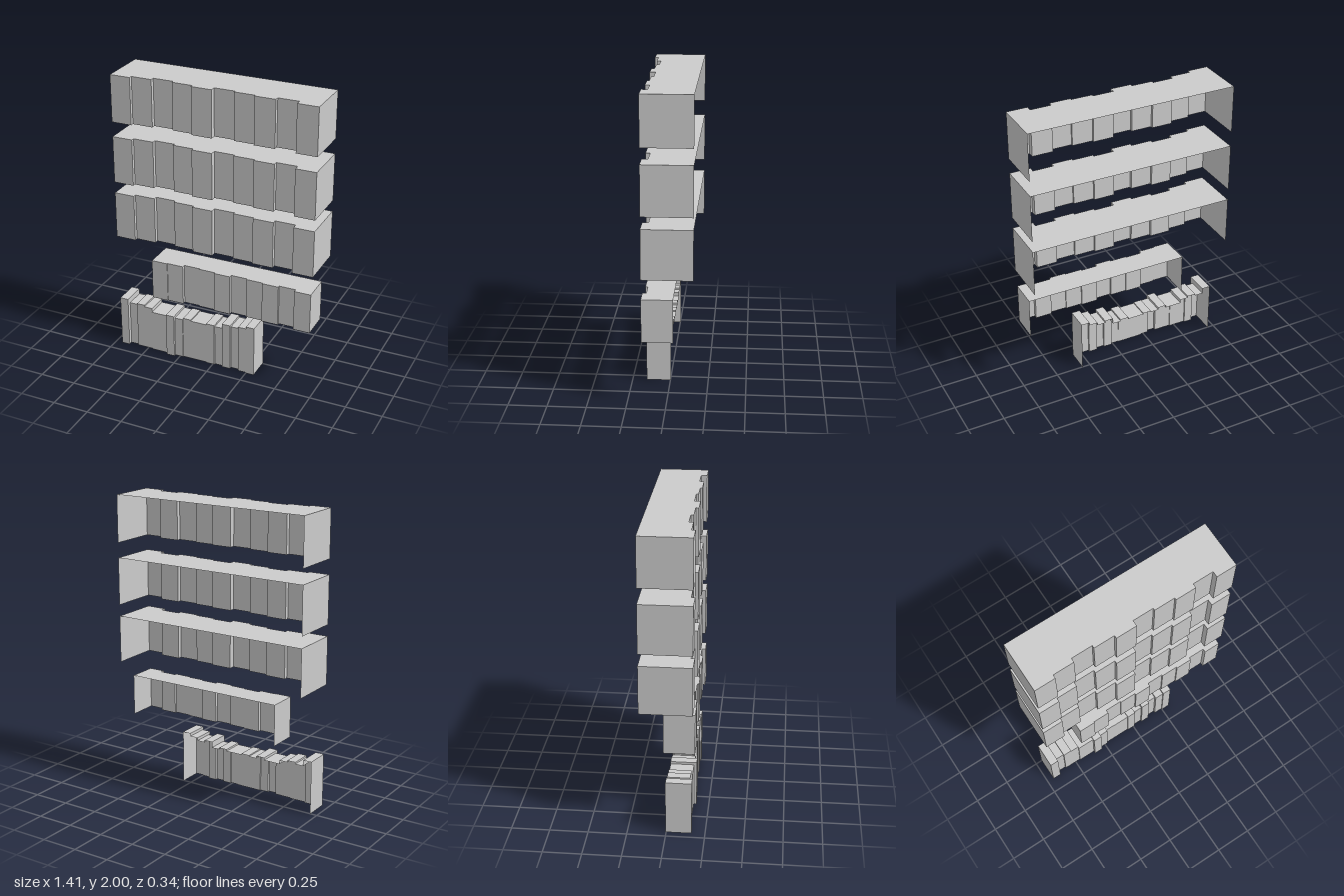
import * as THREE from 'three';

const material = new THREE.MeshStandardMaterial({ color: 0xcccccc, side: THREE.DoubleSide, flatShading: true });

// Mesh from quads, each given as four corners counter-clockwise from outside
function quadMesh(name, quads) {
  const positions = quads.flatMap(([a, b, c, d]) => [a, b, c, a, c, d].flat());
  const geometry = new THREE.BufferGeometry();
  geometry.setAttribute('position', new THREE.Float32BufferAttribute(positions, 3));
  geometry.computeVertexNormals();
  const mesh = new THREE.Mesh(geometry, material);
  mesh.name = name;
  return mesh;
}

// Rectangle in a plane of constant x, facing +x or -x
function sideQuad(x, y0, y1, z0, z1, facesRight) {
  const q = [[x, y0, z1], [x, y0, z0], [x, y1, z0], [x, y1, z1]];
  return facesRight ? q : q.reverse();
}

// Row of books as a shell, open at the back and underneath
function bookRow({ name, x0, x1, y0, back, fronts, tops }) {
  const n = fronts.length;
  const width = (x1 - x0) / n;
  const top = (i) => (Array.isArray(tops) ? tops[i] : tops);
  const spines = [], lids = [], steps = [];

  for (let i = 0; i < n; i++) {
    const l = x0 + i * width, r = l + width, z = fronts[i], h = top(i);
    spines.push([[l, y0, z], [r, y0, z], [r, h, z], [l, h, z]]);
    lids.push([[l, h, z], [r, h, z], [r, h, back], [l, h, back]]);

    // Walls where neighbouring books differ in depth or height
    if (i === n - 1) continue;
    const z2 = fronts[i + 1], h2 = top(i + 1);
    const near = Math.min(z, z2);
    if (z !== z2) steps.push(sideQuad(r, y0, z > z2 ? h : h2, near, Math.max(z, z2), z > z2));
    if (h !== h2) steps.push(sideQuad(r, Math.min(h, h2), Math.max(h, h2), back, near, h > h2));
  }

  const ends = [
    sideQuad(x0, y0, top(0), back, fronts[0], false),
    sideQuad(x1, y0, top(n - 1), back, fronts[n - 1], true),
  ];
  const row = new THREE.Group();
  row.name = name;
  row.add(quadMesh('spines', spines), quadMesh('bookTops', lids),
    quadMesh('stepSides', steps), quadMesh('endCovers', ends));
  return row;
}

export function createModel() {
  const model = new THREE.Group();
  model.name = 'bookRows';

  // Three matching long rows
  const longFronts = [0.167, 0.143, 0.115, 0.134, 0.154, 0.115, 0.13, 0.144, 0.115, 0.155];
  [[0.847, 1.172], [1.25, 1.575], [1.677, 2]].forEach(([y0, tops], i) => {
    model.add(bookRow({
      name: `longRow${i + 1}`, x0: -0.707, x1: 0.707, y0, back: -0.171, fronts: longFronts, tops,
    }));
  });

  // Shorter, shallower row
  model.add(bookRow({
    name: 'shortRow', x0: -0.445, x1: 0.698, y0: 0.432, back: -0.044, tops: 0.716,
    fronts: [0.163, 0.157, 0.134, 0.141, 0.152, 0.129, 0.138, 0.146, 0.13, 0.155],
  }));

  // Bottom row of narrow books with uneven heights
  model.add(bookRow({
    name: 'bottomRow', x0: -0.703, x1: 0.308, y0: 0, back: -0.005,
    fronts: [0.163, 0.135, 0.144, 0.144, 0.15, 0.15, 0.168, 0.152, 0.145, 0.145, 0.145, 0.15, 0.14, 0.152, 0.135, 0.15, 0.157],
    tops: [0.365, 0.325, 0.337, 0.325, 0.299, 0.299, 0.316, 0.299, 0.307, 0.299, 0.299, 0.311, 0.299, 0.34, 0.325, 0.345, 0.365],
  }));
  return model;
}
